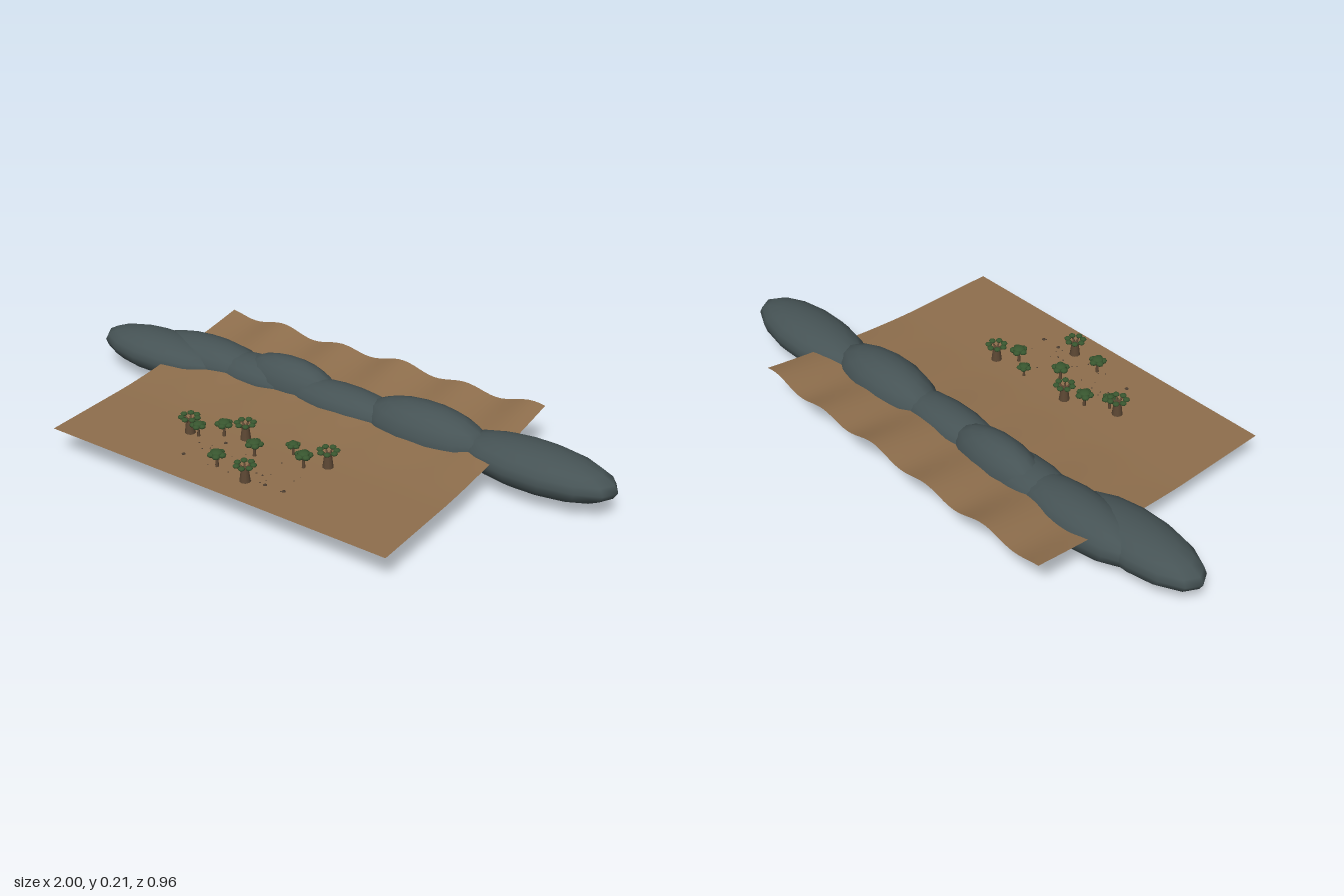
import * as THREE from 'three';

const mat = (name, color, side = THREE.FrontSide) => {
  const m = new THREE.MeshStandardMaterial({ color, side });
  m.name = name;
  return m;
};
const GROUND = 0.108;

export function createModel() {
  const group = new THREE.Group();
  group.name = 'savannaLandscape';
  const earth = mat('earth', 0x8f6f4d, THREE.DoubleSide);
  const rock = mat('rock', 0x465355);
  const bark = mat('bark', 0x5c4733);
  const leaf = mat('leaf', 0x38562f);
  const stone = mat('stone', 0x4a3c30);

  const add = (parent, name, geo, material, pos, scale = [1, 1, 1]) => {
    const m = new THREE.Mesh(geo, material);
    m.name = name;
    m.position.set(...pos);
    m.scale.set(...scale);
    parent.add(m);
    return m;
  };

  // Seeded noise for scattering
  let seed = 7;
  const rand = () => (seed = (seed * 16807) % 2147483647) / 2147483647;

  // Ground: flat in front, rising in ripples towards the back
  const ground = new THREE.PlaneGeometry(1.28, 0.96, 64, 32).rotateX(-Math.PI / 2).translate(-0.03, 0, 0);
  const p = ground.attributes.position;
  for (let i = 0; i < p.count; i++) {
    const t = Math.max(0, (0.15 - p.getZ(i)) / 0.63);
    const wave = 0.7 * Math.sin(p.getX(i) * 25) + 0.3 * Math.sin(p.getX(i) * 11 + 1);
    p.setY(i, GROUND + 0.05 * t ** 1.5 + 0.016 * t * t * wave);
  }
  ground.computeVertexNormals();
  add(group, 'ground', ground, earth, [0, 0, 0]);

  // Ridge of overlapping stretched boulders: x, y, z, rx, ry, rz
  const ball = new THREE.SphereGeometry(1, 14, 10);
  [
    [-0.74, 0.11, -0.155, 0.26, 0.072, 0.105],
    [-0.56, 0.11, -0.205, 0.26, 0.08, 0.097],
    [-0.34, 0.11, -0.2, 0.22, 0.07, 0.088],
    [-0.22, 0.108, -0.21, 0.2, 0.104, 0.085],
    [0.02, 0.11, -0.192, 0.25, 0.072, 0.083],
    [0.33, 0.108, -0.198, 0.24, 0.104, 0.104],
    [0.72, 0.111, -0.21, 0.28, 0.076, 0.11],
  ].forEach(([x, y, z, ...r]) => add(group, 'ridgeBoulder', ball, rock, [x, y, z], r));

  const blob = new THREE.SphereGeometry(1, 8, 6);
  const up = new THREE.Vector3(0, 1, 0);

  // Thick-trunked tree with a ring of branches carrying leaf clumps
  const thickTrunk = new THREE.CylinderGeometry(0.012, 0.018, 0.046, 10);
  const branch = new THREE.CylinderGeometry(0.002, 0.0045, 0.03, 6);
  const bottleTree = (x, z, s, turn) => {
    const t = new THREE.Group();
    t.name = 'bottleTree';
    add(t, 'trunk', thickTrunk, bark, [0, 0.023, 0]);
    for (let i = 0; i < 7; i++) {
      const a = (i / 7) * Math.PI * 2;
      const dir = new THREE.Vector3(Math.cos(a), 0.6, Math.sin(a)).normalize();
      const b = add(t, 'branch', branch, bark, [Math.cos(a) * 0.015, 0.048, Math.sin(a) * 0.015]);
      b.quaternion.setFromUnitVectors(up, dir);
      add(t, 'leafClump', blob, leaf, [Math.cos(a) * 0.027, 0.058, Math.sin(a) * 0.027], [0.0115, 0.0065, 0.0115]);
    }
    t.position.set(x, GROUND, z);
    t.rotation.y = turn;
    t.scale.setScalar(s);
    group.add(t);
  };
  [[-0.12, 0.172, 1], [0.195, 0.163, 1], [0.035, 0.378, 1], [-0.292, 0.242, 1]]
    .forEach(([x, z, s], i) => bottleTree(x, z, s, i * 0.7));

  // Slim tree with a flat umbrella crown
  const slimTrunk = new THREE.CylinderGeometry(0.0035, 0.006, 0.04, 7);
  const umbrellaTree = (x, z, s, turn) => {
    const t = new THREE.Group();
    t.name = 'umbrellaTree';
    add(t, 'trunk', slimTrunk, bark, [0, 0.02, 0]);
    add(t, 'crown', blob, leaf, [0, 0.049, 0], [0.021, 0.01, 0.021]);
    for (let i = 0; i < 5; i++) {
      const a = (i / 5) * Math.PI * 2;
      add(t, 'crownClump', blob, leaf, [Math.cos(a) * 0.018, 0.044, Math.sin(a) * 0.018], [0.0135, 0.0085, 0.0135]);
    }
    t.position.set(x, GROUND, z);
    t.rotation.y = turn;
    t.scale.setScalar(s);
    group.add(t);
  };
  [
    [-0.188, 0.196, 1], [0.063, 0.165, 0.8], [0.135, 0.21, 1],
    [-0.032, 0.242, 1], [-0.088, 0.36, 1], [-0.255, 0.245, 0.9],
  ].forEach(([x, z, s], i) => umbrellaTree(x, z, s, i));

  // Pebbles scattered between the trees
  const pebble = new THREE.DodecahedronGeometry(1);
  [[-0.222, 0.362], [0.1, 0.363], [0.168, 0.36], [-0.155, 0.232]].forEach(([x, z]) =>
    add(group, 'stone', pebble, stone, [x, GROUND, z], [0.007, 0.004, 0.007]));
  for (let i = 0; i < 24; i++) {
    const r = 0.0018 + rand() * 0.002;
    add(group, 'pebble', pebble, stone, [-0.25 + rand() * 0.45, GROUND, 0.22 + rand() * 0.16], [r, r * 0.6, r]);
  }
  return group;
}
